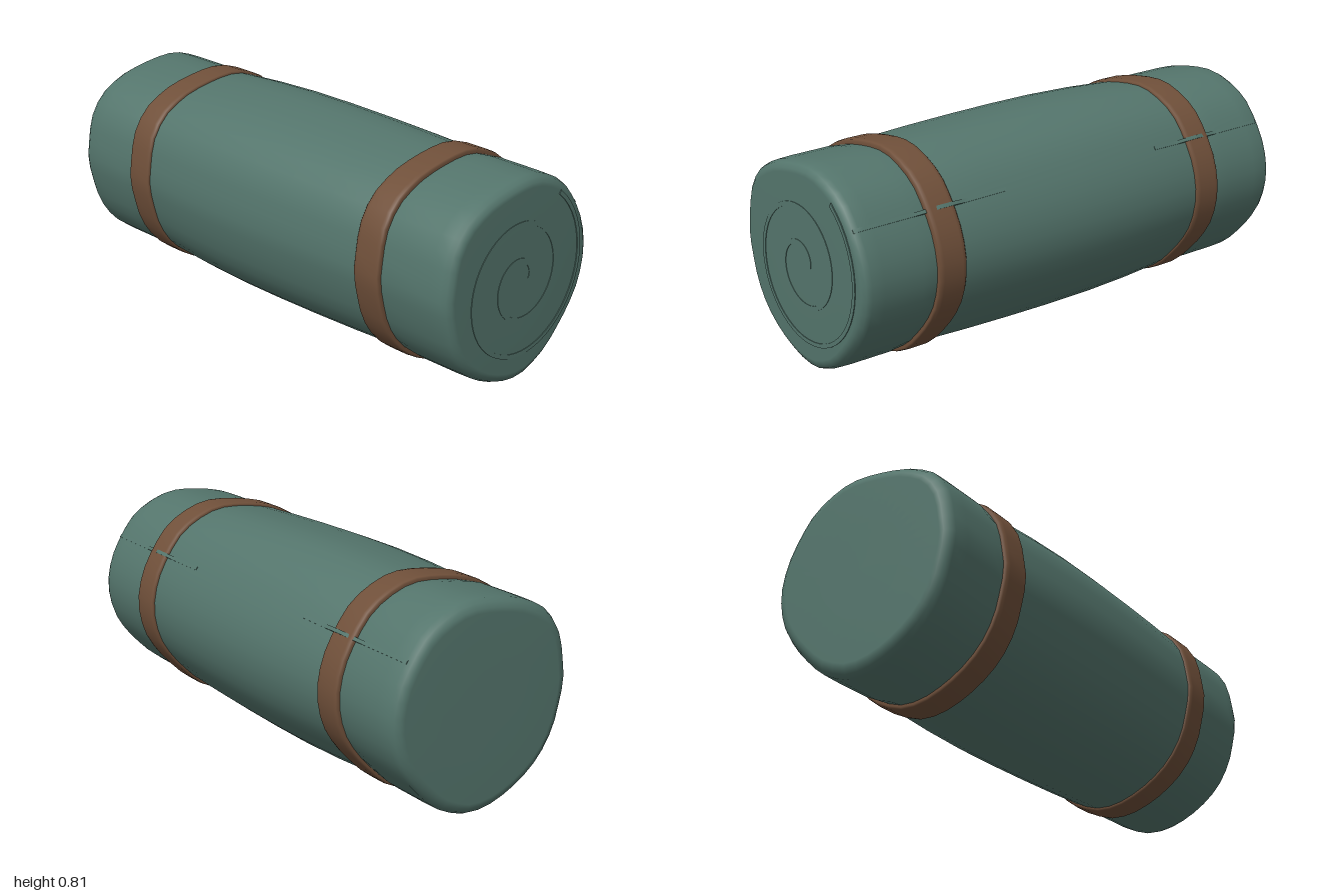
import * as THREE from 'three';

const CY = 0.407; // height of the roll's axis

// Lumpy cross-section as [z, y], starting at the top and running towards the back
const outline = [
  [-0.05, 0.81], [-0.115, 0.8], [-0.2, 0.765], [-0.26, 0.725], [-0.327, 0.64], [-0.378, 0.543],
  [-0.401, 0.425], [-0.378, 0.3], [-0.327, 0.21], [-0.245, 0.117], [-0.176, 0.056], [-0.06, 0.006],
  [0.0, 0.002], [0.075, 0.015], [0.187, 0.063], [0.288, 0.14], [0.355, 0.24], [0.388, 0.35],
  [0.403, 0.435], [0.396, 0.5], [0.375, 0.608], [0.345, 0.666], [0.3, 0.716], [0.247, 0.748],
  [0.187, 0.774], [0.068, 0.8],
];
const SIDES = 42;
const section = new THREE.CatmullRomCurve3(
  outline.map(([z, y]) => new THREE.Vector3(0, y - CY, z)), true,
).getSpacedPoints(SIDES).slice(0, SIDES);

// Rolled cloth along x: [x, scale of the cross-section]
const bodyRings = [
  [-1, 0], [-1, 0.45], [-0.999, 0.85], [-0.996, 0.89], [-0.985, 0.935], [-0.965, 0.962], [-0.9, 0.966],
  [-0.75, 0.965], [-0.69, 0.945], [-0.63, 0.94], [-0.57, 0.96], [-0.4, 0.985], [-0.2, 1], [0, 0.999],
  [0.2, 0.99], [0.4, 0.975], [0.56, 0.957], [0.62, 0.935], [0.68, 0.938], [0.74, 0.953], [0.9, 0.95],
  [0.95, 0.945], [0.97, 0.925], [0.981, 0.885], [0.984, 0.85], [0.985, 0.45], [0.985, 0],
];

// Skin a row of scaled cross-sections
function loft(rings) {
  const pos = [], idx = [];
  for (const [x, s] of rings) for (const p of section) pos.push(x, CY + p.y * s, p.z * s);
  for (let i = 0; i < rings.length - 1; i++) {
    for (let j = 0; j < SIDES; j++) {
      const k = (j + 1) % SIDES;
      const a = i * SIDES + j, b = a + SIDES, c = i * SIDES + k, d = c + SIDES;
      idx.push(a, b, c, c, b, d);
    }
  }
  const geo = new THREE.BufferGeometry();
  geo.setAttribute('position', new THREE.Float32BufferAttribute(pos, 3));
  geo.setIndex(idx);
  geo.computeVertexNormals();
  return geo;
}

function bodyScale(x) {
  for (let i = 1; i < bodyRings.length; i++) {
    const [x0, s0] = bodyRings[i - 1], [x1, s1] = bodyRings[i];
    if (x <= x1 && x1 > x0) return s0 + (s1 - s0) * (x - x0) / (x1 - x0);
  }
  return 0;
}

// Flat spiral ribbon showing the rolled layers
function spiralGeometry(depth) {
  const inner = [], outer = [], N = 110, turns = 2.153;
  for (let i = 0; i <= N; i++) {
    const t = turns * i / N, a = t * Math.PI * 2, r = 0.045 + 0.1365 * t;
    inner.push(new THREE.Vector2((r - 0.008) * Math.cos(a), (r - 0.008) * Math.sin(a)));
    outer.push(new THREE.Vector2((r + 0.008) * Math.cos(a), (r + 0.008) * Math.sin(a)));
  }
  const shape = new THREE.Shape([...outer, ...inner.reverse()]);
  return new THREE.ExtrudeGeometry(shape, { depth, bevelEnabled: false }).rotateY(Math.PI / 2);
}

// Thin strip that follows the roll and rises over the strap
function seamGeometry(x0, x1, strapX) {
  const geo = new THREE.BoxGeometry(x1 - x0, 1, 0.014, 32, 1, 1).translate((x0 + x1) / 2, 0, 0);
  const p = geo.attributes.position;
  for (let i = 0; i < p.count; i++) {
    const x = p.getX(i);
    const bump = 0.021 * Math.max(0, 1 - Math.abs(x - strapX) / 0.11);
    const top = 0.4015 * bodyScale(x) + 0.002 + bump;
    p.setY(i, p.getY(i) > 0 ? top : top - 0.03);
  }
  geo.computeVertexNormals();
  return geo;
}

export function createModel() {
  const model = new THREE.Group();
  model.name = 'bedroll';
  const cloth = new THREE.MeshStandardMaterial({ color: 0x54756c });
  cloth.name = 'green cloth';
  const leather = new THREE.MeshStandardMaterial({ color: 0x70503a });
  leather.name = 'brown leather';

  const add = (name, geo, mat) => {
    const mesh = new THREE.Mesh(geo, mat);
    mesh.name = name;
    model.add(mesh);
    return mesh;
  };

  add('rolledCloth', loft(bodyRings), cloth);

  // Straps
  const strapRings = [[-0.058, 0.92], [-0.06, 0.965], [-0.054, 0.98], [-0.04, 0.986],
    [0.04, 0.986], [0.054, 0.98], [0.06, 0.965], [0.058, 0.92]];
  for (const [name, cx] of [['rightStrap', -0.63], ['leftStrap', 0.62]]) {
    add(name, loft(strapRings.map(([x, s]) => [cx + x, s])), leather);
  }

  // Spirals on both ends
  add('leftSpiral', spiralGeometry(0.02), cloth).position.set(0.967, 0.415, 0);
  add('rightSpiral', spiralGeometry(0.02), cloth).position.set(-0.998, 0.415, 0);

  // Seam strips on the upper back
  for (const [name, x0, x1, sx] of [['rightSeam', -0.97, -0.4, -0.63], ['leftSeam', 0.33, 0.97, 0.62]]) {
    const seam = add(name, seamGeometry(x0, x1, sx), cloth);
    seam.position.y = CY;
    seam.rotation.x = -0.951;
  }
  return model;
}
